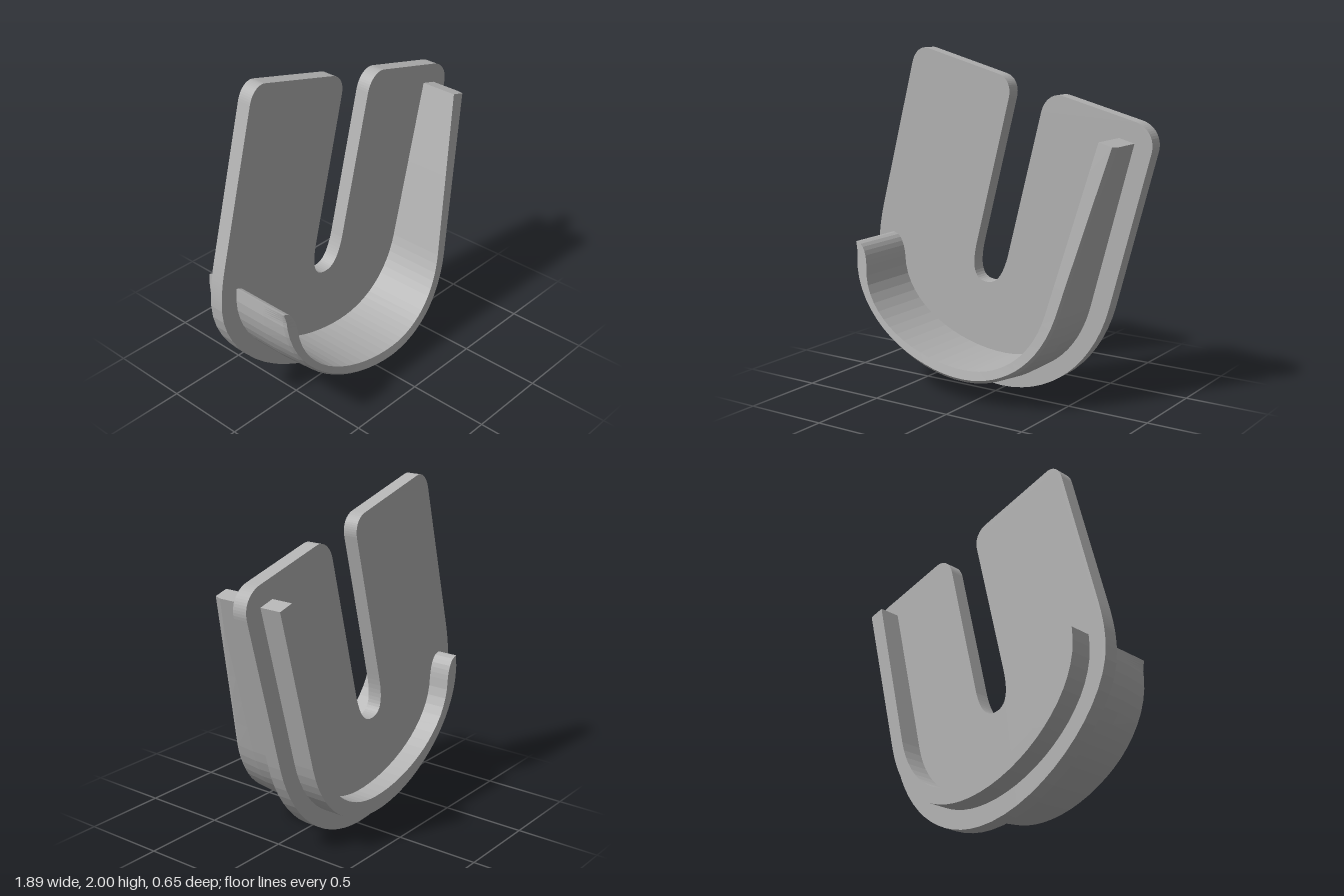
import * as THREE from 'three';

const grey = new THREE.MeshStandardMaterial({ color: 0xb2b2b2, flatShading: true });
grey.name = 'plain grey';

const v = (x, y) => new THREE.Vector2(x, y);
const line = (a, b) => new THREE.LineCurve(v(...a), v(...b));
const cubic = (a, b, c, d) => new THREE.CubicBezierCurve(v(...a), v(...b), v(...c), v(...d));

// Tilted U-shaped flat plate with a tapering slot
function makePlate() {
  const s = new THREE.Shape();
  s.moveTo(-0.02, 0);
  s.bezierCurveTo(0.32, 0, 0.6, 0.23, 0.695, 0.58);
  s.lineTo(0.935, 1.47);
  s.bezierCurveTo(0.957, 1.55, 0.91, 1.62, 0.83, 1.64);
  s.lineTo(0.38, 1.755);
  s.bezierCurveTo(0.32, 1.772, 0.26, 1.73, 0.24, 1.66);
  s.lineTo(0.015, 0.79);
  s.bezierCurveTo(-0.02, 0.68, -0.06, 0.625, -0.125, 0.625);
  s.bezierCurveTo(-0.22, 0.625, -0.245, 0.7, -0.2, 0.87);
  s.lineTo(0.02, 1.72);
  s.bezierCurveTo(0.04, 1.79, 0.01, 1.845, -0.05, 1.862);
  s.lineTo(-0.555, 1.996);
  s.bezierCurveTo(-0.6, 2.008, -0.65, 1.975, -0.668, 1.91);
  s.lineTo(-0.907, 1.02);
  s.bezierCurveTo(-0.93, 0.93, -0.945, 0.85, -0.945, 0.76);
  s.bezierCurveTo(-0.945, 0.4, -0.46, 0, -0.02, 0);
  const geo = new THREE.ExtrudeGeometry(s, { depth: 0.088, bevelEnabled: false, curveSegments: 14 });
  geo.translate(0, 0, -0.19);
  const mesh = new THREE.Mesh(geo, grey);
  mesh.name = 'slottedPlate';
  return mesh;
}

// J-shaped wall crossing the plate, with a sloping, drafted front edge
function makeRim() {
  const outer = [
    line([0.832, 1.52], [0.575, 0.57]),
    cubic([0.575, 0.57], [0.49, 0.26], [0.25, 0.113], [-0.01, 0.113]),
    cubic([-0.01, 0.113], [-0.4, 0.113], [-0.837, 0.42], [-0.837, 0.78]),
    line([-0.837, 0.78], [-0.832, 0.855]),
  ];
  const inner = [
    line([0.738, 1.545], [0.49, 0.59]),
    cubic([0.49, 0.59], [0.42, 0.33], [0.22, 0.207], [0, 0.207]),
    cubic([0, 0.207], [-0.33, 0.207], [-0.74, 0.4], [-0.743, 0.715]),
    cubic([-0.743, 0.715], [-0.75, 0.78], [-0.77, 0.84], [-0.818, 0.852]),
  ];
  const steps = [6, 14, 16, 6];
  const frontZ = (p) => 0.339 - 0.125 * (0.259 * p.x + 0.966 * p.y);

  // One cross-section per sample, from outer back round to inner back
  const sections = [];
  const total = steps.reduce((a, b) => a + b);
  steps.forEach((n, k) => {
    for (let i = k ? 1 : 0; i <= n; i++) {
      const o = outer[k].getPoint(i / n);
      const q = inner[k].getPoint(i / n);
      const draft = 0.3 + 0.7 * Math.sin(Math.PI * sections.length / total);
      const dir = q.clone().sub(o);
      const limit = Math.min(1, dir.length() / 0.09);
      dir.normalize().multiplyScalar(limit * draft);
      const mid = o.clone().addScaledVector(dir, 0.022);
      const tip = o.clone().addScaledVector(dir, 0.042);
      const z = frontZ(o);
      sections.push([
        [o.x, o.y, -0.32], [o.x, o.y, Math.min(0.11, z - 0.04)],
        [mid.x, mid.y, z - 0.02], [tip.x, tip.y, z],
        [q.x, q.y, frontZ(q)], [q.x, q.y, -0.32],
      ]);
    }
  });

  const m = 6, index = [];
  for (let i = 0; i < sections.length - 1; i++) {
    for (let j = 0; j < m; j++) {
      const a = i * m + j, b = i * m + (j + 1) % m;
      index.push(a, b, b + m, a, b + m, a + m);
    }
  }
  // End caps
  const last = (sections.length - 1) * m;
  for (let j = 1; j < m - 1; j++) {
    index.push(0, j + 1, j);
    index.push(last, last + j, last + j + 1);
  }
  const geo = new THREE.BufferGeometry();
  geo.setAttribute('position', new THREE.Float32BufferAttribute(sections.flat(2), 3));
  geo.setIndex(index);
  const flat = geo.toNonIndexed();
  flat.computeVertexNormals();
  const mesh = new THREE.Mesh(flat, grey);
  mesh.name = 'curvedRim';
  return mesh;
}

export function createModel() {
  const group = new THREE.Group();
  group.name = 'slottedBracket';
  group.add(makePlate(), makeRim());
  return group;
}
